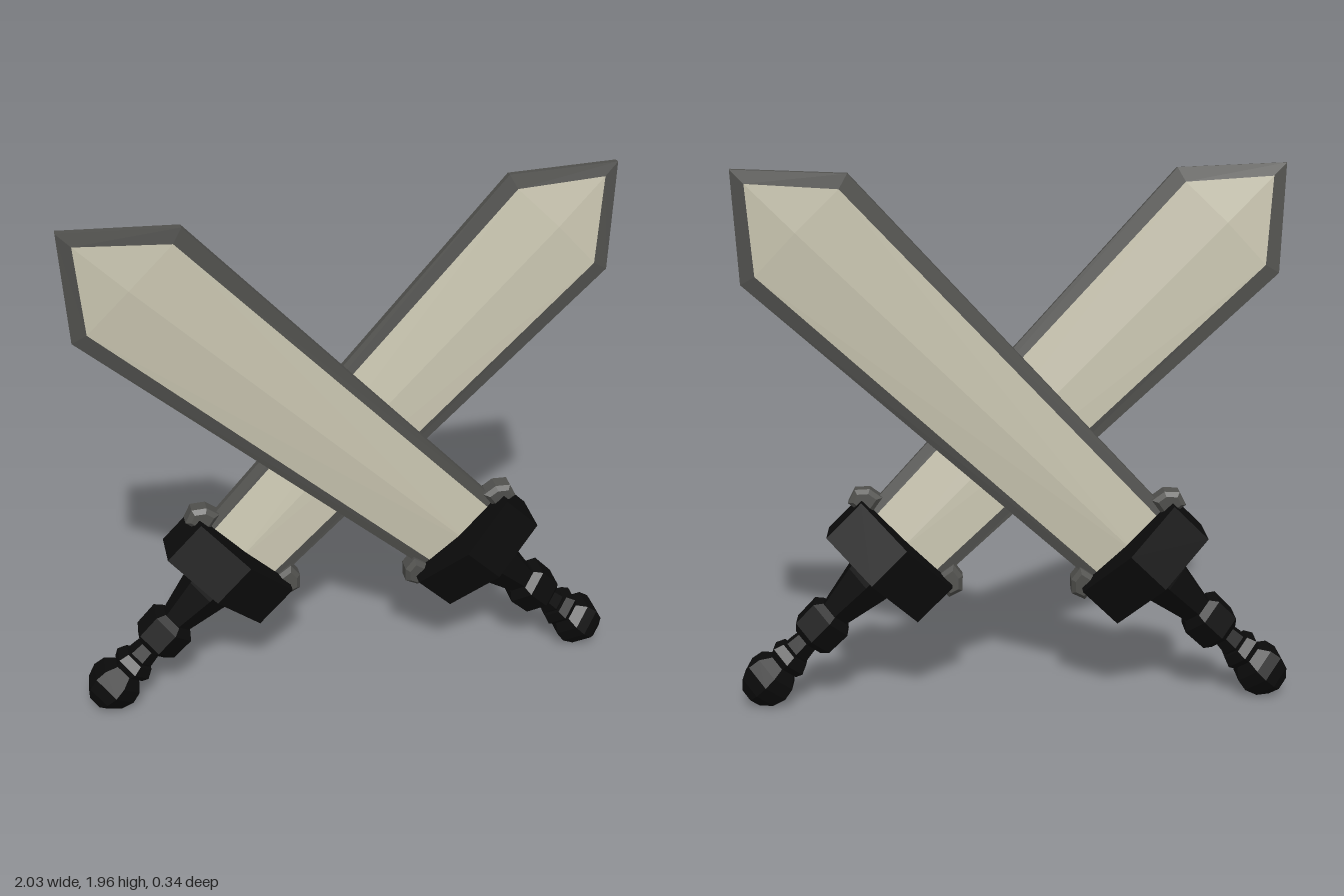
import * as THREE from 'three';

const mat = (name, color, opts = {}) => {
  const m = new THREE.MeshStandardMaterial({ color, flatShading: true, ...opts });
  m.name = name;
  return m;
};

// Flat-faced geometry from quads/triangles, repeated on the back by a half turn about y
function doubleFaced(faces) {
  const pos = [];
  for (const side of [1, -1]) {
    for (const f of faces) {
      for (let i = 1; i < f.length - 1; i++) {
        for (const [x, y, z] of [f[0], f[i], f[i + 1]]) pos.push(x * side, y, z * side);
      }
    }
  }
  const g = new THREE.BufferGeometry();
  g.setAttribute('position', new THREE.Float32BufferAttribute(pos, 3));
  g.computeVertexNormals();
  return g;
}

// Prism from an outline, extruded along z and centred on it
function prism(points, depth, bevel = 0) {
  const shape = new THREE.Shape(points.map(([x, y]) => new THREE.Vector2(x, y)));
  const g = new THREE.ExtrudeGeometry(shape, {
    depth: depth - 2 * bevel, bevelEnabled: bevel > 0, bevelSegments: 1,
    bevelSize: bevel, bevelThickness: bevel, bevelOffset: -bevel,
  });
  return g.translate(0, 0, -depth / 2 + bevel);
}

export function createModel() {
  const black = mat('black', 0x0b0b0b);
  const steel = mat('dark steel', 0x50504d);
  const bone = mat('pale blade', 0xcbc7b2);

  function makeSword(name) {
    const sword = new THREE.Group();
    sword.name = name;
    const add = (part, geometry, material) => {
      const m = new THREE.Mesh(geometry, material);
      m.name = part;
      sword.add(m);
      return m;
    };

    // Blade outlines, counter-clockwise from lower right
    const outline = (w0, w1, shoulder, tip, z) => [
      [w0, 0.1, z], [w1, shoulder, z], [0, tip, z], [-w1, shoulder, z], [-w0, 0.1, z]];
    const edge = outline(0.187, 0.263, 1.78, 2.065, 0.012);
    const inner = outline(0.149, 0.207, 1.765, 2.0, 0.02);
    const back = edge.map(([x, y, z]) => [x, y, -z]);

    // Dark rim: bevel plus side wall (the wall's half turn is the far side)
    const rim = [];
    for (let i = 0; i < 4; i++) {
      rim.push([edge[i], edge[i + 1], inner[i + 1], inner[i]]);
      if (i < 2) rim.push([back[i], back[i + 1], edge[i + 1], edge[i]]);
    }
    add('bladeEdge', doubleFaced(rim), steel);

    // Pale faces rising to a central ridge
    const low = [0, 0.1, 0.034], high = [0, 1.77, 0.034];
    add('bladeFaces', doubleFaced([
      [low, inner[0], inner[1], high],
      [high, inner[1], inner[2]],
      [high, inner[2], inner[3]],
      [low, high, inner[3], inner[4]],
    ]), bone);

    // Guard: six-sided block, deepest in the middle
    const guard = prism([[0.228, -0.078], [0.228, 0.078], [0, 0.152],
      [-0.228, 0.078], [-0.228, -0.078], [0, -0.152]], 0.18);
    add('guard', guard.rotateX(-Math.PI / 2).translate(0, 0.062, 0), black);

    // Studs on the guard's upper corners
    for (const s of [1, -1]) {
      const pts = [[0.165, 0.12], [0.255, 0.108], [0.272, 0.16], [0.235, 0.2], [0.18, 0.208]]
        .map(([x, y]) => [x * s, y]);
      add(s > 0 ? 'leftStud' : 'rightStud', prism(pts, 0.08, 0.015), steel);
    }

    // Six-sided turned handle parts, listed from bottom to top as [radius, height]
    const turned = (part, profile) => add(part, new THREE.LatheGeometry(
      profile.map(([r, y]) => new THREE.Vector2(r, y)), 6), black);
    turned('grip', [[0.05, -0.26], [0.062, -0.23], [0.1, -0.06], [0.105, -0.02]]);
    turned('collar', [[0, -0.37], [0.07, -0.37], [0.095, -0.345], [0.098, -0.25], [0.07, -0.225], [0, -0.225]]);
    turned('neck', [[0.045, -0.52], [0.045, -0.46], [0.055, -0.43], [0.045, -0.36]]);
    turned('ring', [[0, -0.505], [0.07, -0.5], [0.082, -0.475], [0.065, -0.44], [0, -0.435]]);
    turned('pommel', [[0, -0.685], [0.05, -0.675], [0.088, -0.635], [0.104, -0.585],
      [0.095, -0.54], [0.06, -0.505], [0, -0.5]]);

    // Lean the sword across and slightly forward
    sword.rotation.set(0.076, 0, Math.PI / 4, 'ZXY');
    sword.position.set(0.505, 0.505, 0);
    return sword;
  }

  // The pair are half turns of each other about the vertical
  const model = new THREE.Group();
  model.name = 'crossedSwords';
  const rear = new THREE.Group();
  rear.name = 'rearSwordTurn';
  rear.rotation.y = Math.PI;
  rear.add(makeSword('rearSword'));
  model.add(makeSword('frontSword'), rear);
  return model;
}
